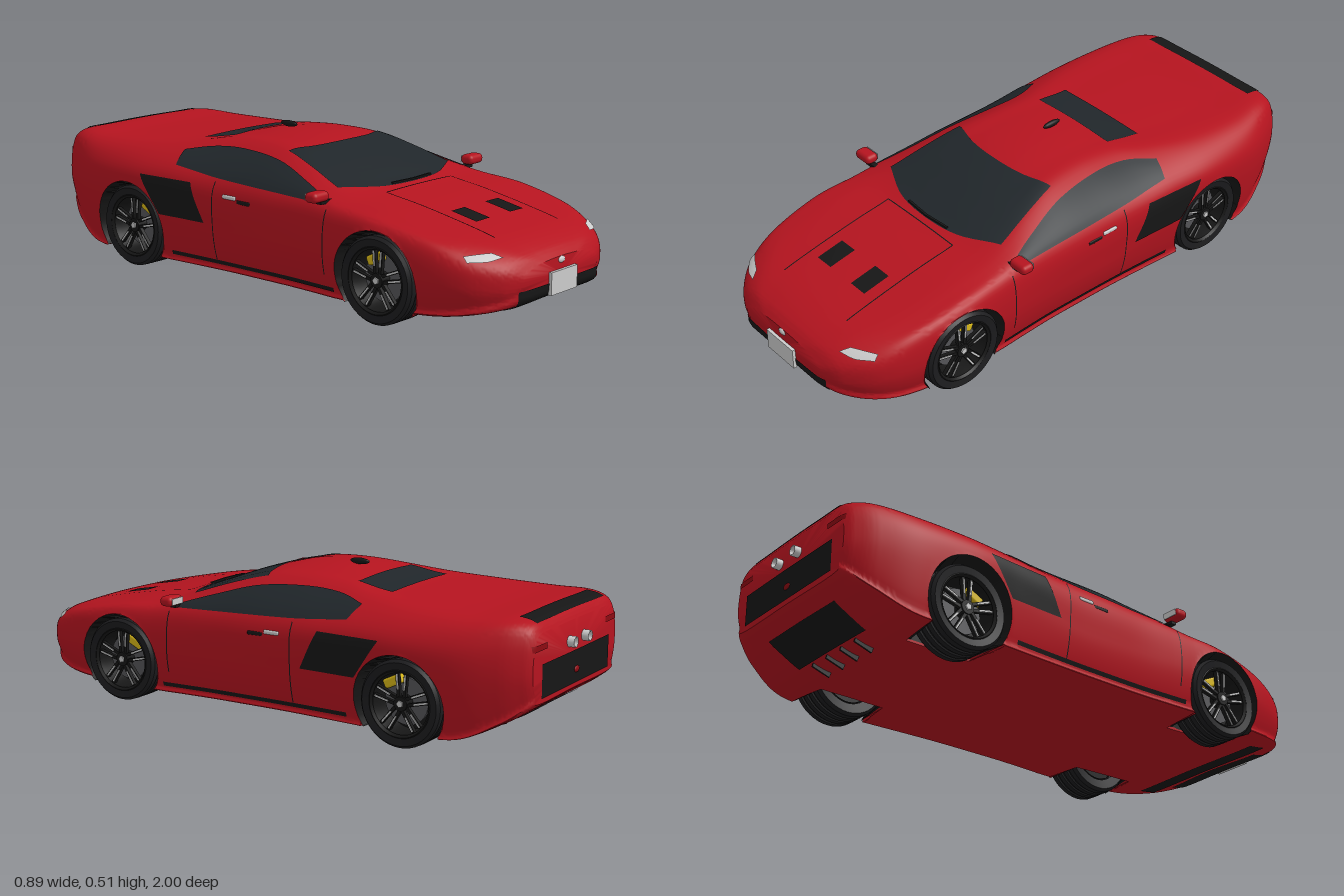
import * as THREE from 'three';
import { toCreasedNormals } from 'three/addons/utils/BufferGeometryUtils.js';
import { RoundedBoxGeometry } from 'three/addons/geometries/RoundedBoxGeometry.js';

const mat = (color) => new THREE.MeshStandardMaterial({ color, side: THREE.DoubleSide });
const red = mat(0xb5141f), black = mat(0x161616), glass = mat(0x20262a), grey = mat(0xcccccc);
const rubber = mat(0x1c1c1e), steel = mat(0x555558), yellow = mat(0xd8b818), lampRed = mat(0x8c0a12);

// Body stations: z, half width, floor y, waist y, shoulder y, roof half width, roof edge y, crown y
const STATIONS = [
  [0.985, 0.2, 0.12, 0.16, 0.195, 0.12, 0.218, 0.225],
  [0.95, 0.275, 0.095, 0.16, 0.215, 0.2, 0.245, 0.255],
  [0.87, 0.352, 0.075, 0.17, 0.242, 0.26, 0.277, 0.288],
  [0.75, 0.395, 0.06, 0.18, 0.28, 0.32, 0.305, 0.315],
  [0.56, 0.415, 0.055, 0.2, 0.318, 0.33, 0.343, 0.35],
  [0.4, 0.41, 0.05, 0.2, 0.327, 0.33, 0.362, 0.375],
  [0.3, 0.405, 0.05, 0.2, 0.337, 0.315, 0.385, 0.41],
  [0.18, 0.4, 0.05, 0.2, 0.345, 0.28, 0.425, 0.452],
  [0.05, 0.4, 0.05, 0.2, 0.352, 0.25, 0.46, 0.485],
  [-0.1, 0.402, 0.05, 0.2, 0.355, 0.24, 0.467, 0.494],
  [-0.25, 0.408, 0.05, 0.22, 0.36, 0.245, 0.46, 0.48],
  [-0.38, 0.415, 0.05, 0.24, 0.365, 0.28, 0.445, 0.456],
  [-0.55, 0.424, 0.05, 0.26, 0.365, 0.32, 0.432, 0.445],
  [-0.75, 0.413, 0.055, 0.26, 0.365, 0.33, 0.427, 0.437],
  [-0.88, 0.375, 0.11, 0.27, 0.375, 0.31, 0.432, 0.441],
  [-0.95, 0.335, 0.155, 0.27, 0.375, 0.28, 0.422, 0.43],
  [-0.975, 0.31, 0.175, 0.27, 0.36, 0.26, 0.395, 0.4],
];
const WHEEL_Z = [0.558, -0.557], HUB_Y = 0.145, ARCH = 0.163;

// Catmull-Rom blend between stations
function station(f) {
  const i = Math.min(Math.floor(f), STATIONS.length - 2), t = f - i;
  const row = (k) => STATIONS[THREE.MathUtils.clamp(k, 0, STATIONS.length - 1)];
  return row(i).map((b, k) => {
    const a = row(i - 1)[k], c = row(i + 1)[k], d = row(i + 2)[k];
    return b + 0.5 * t * (c - a + t * (2 * a - 5 * b + 4 * c - d + t * (3 * (b - c) + d - a)));
  });
}

function sectionCurve([z, w, yb, ym, ys, xr, yr, yt]) {
  const half = [[0.86 * w, yb], [0.94 * w, yb + 0.03], [w, ym], [0.965 * w, ys], [xr, yr], [0.55 * xr, yr + (yt - yr) * 0.75]];
  const p = (x, y) => new THREE.Vector3(x, y, z);
  const pts = [p(0, yb), ...half.map(([x, y]) => p(x, y)), p(0, yt), ...half.reverse().map(([x, y]) => p(-x, y))];
  return new THREE.CatmullRomCurve3(pts, true, 'catmullrom', 0.5);
}

// Lofted shell; points inside a wheel arch are sunk inwards, points near its rim snap to the circle
function buildBody() {
  const rows = (STATIONS.length - 1) * 14, cols = 14 * 8, pos = [], sunk = [], shell = [], wells = [];
  for (let i = 0; i <= rows; i++) {
    const curve = sectionCurve(station(i / 14));
    for (let j = 0; j < cols; j++) {
      const p = curve.getPoint(j / cols);
      let inside = false;
      for (const wz of WHEEL_Z) {
        const d = Math.hypot(p.z - wz, p.y - HUB_Y);
        if (d >= ARCH || Math.abs(p.x) < 0.24) continue;
        if (d > ARCH - 0.022 && p.y > 0.06) {
          p.z = wz + (p.z - wz) * ARCH / d;
          p.y = HUB_Y + (p.y - HUB_Y) * ARCH / d;
        } else {
          p.x = 0.24 * Math.sign(p.x);
          inside = p.y > 0.06;
        }
      }
      pos.push(p.x, p.y, p.z);
      sunk.push(inside);
    }
  }
  for (let i = 0; i < rows; i++) for (let j = 0; j < cols; j++) {
    const a = i * cols + j, b = i * cols + (j + 1) % cols, c = a + cols, d = b + cols;
    ([a, b, c, d].some((k) => sunk[k]) ? wells : shell).push(a, c, b, b, c, d);
  }
  // nose and tail caps
  const n = pos.length / 3, last = rows * cols;
  pos.push(0, 0.17, 0.99, 0, 0.28, -0.978);
  for (let j = 0; j < cols; j++) {
    const k = (j + 1) % cols;
    shell.push(n, j, k, n + 1, last + k, last + j);
  }
  const make = (index) => {
    const g = new THREE.BufferGeometry();
    g.setAttribute('position', new THREE.Float32BufferAttribute(pos, 3));
    g.setIndex(index);
    return toCreasedNormals(g, Math.PI / 5);
  };
  return [make(shell), make(wells)];
}

export function createModel() {
  const car = new THREE.Group();
  car.name = 'sportsCar';
  const add = (name, geo, m, x = 0, y = 0, z = 0, parent = car) => {
    const mesh = new THREE.Mesh(geo, m);
    mesh.name = name;
    mesh.position.set(x, y, z);
    parent.add(mesh);
    return mesh;
  };
  const [shellGeo, wellGeo] = buildBody();
  const body = add('body', shellGeo, red);
  add('wheelWells', wellGeo, black);

  // Panels: a sheet between two 2D edges, projected onto the body along a direction
  const ray = new THREE.Raycaster(), V = (x, y, z) => new THREE.Vector3(x, y, z);
  const project = {
    top: (a, b) => [V(a, 2, b), V(0, -1, 0)], under: (a, b) => [V(a, -2, b), V(0, 1, 0)],
    left: (a, b) => [V(2, b, a), V(-1, 0, 0)], right: (a, b) => [V(-2, b, a), V(1, 0, 0)],
    front: (a, b) => [V(a, b, 2), V(0, 0, -1)], back: (a, b) => [V(a, b, -2), V(0, 0, 1)],
  };
  function panel(name, m, view, edgeA, edgeB, nu = 10, nv = 6, lift = 0.003) {
    const [ca, cb] = [edgeA, edgeB].map((e) => new THREE.SplineCurve(e.map(([x, y]) => new THREE.Vector2(x, y))));
    const g = new THREE.PlaneGeometry(1, 1, nu, nv);
    let prev = null;
    for (let j = 0, k = 0; j <= nv; j++) for (let i = 0; i <= nu; i++, k++) {
      const q = ca.getPoint(i / nu).lerp(cb.getPoint(i / nu), j / nv);
      ray.set(...project[view](q.x + 1e-4, q.y + 1e-4));
      const hit = ray.intersectObject(body)[0];
      if (hit) prev = hit.point.clone().addScaledVector(hit.face.normal, lift);
      if (prev) g.attributes.position.setXYZ(k, prev.x, prev.y, prev.z);
    }
    g.computeVertexNormals();
    return add(name, g, m);
  }
  const rect = (name, m, view, x0, x1, y0, y1, nu, nv, lift) =>
    panel(name, m, view, [[x0, y0], [x1, y0]], [[x0, y1], [x1, y1]], nu, nv, lift);

  // Glass and upper vents
  panel('windscreen', glass, 'top', [[-0.29, 0.31], [-0.15, 0.375], [0, 0.392], [0.15, 0.375], [0.29, 0.31]],
    [[-0.235, 0.045], [-0.12, 0.08], [0, 0.09], [0.12, 0.08], [0.235, 0.045]], 18, 12);
  panel('rearWindow', glass, 'top', [[-0.175, -0.27], [0.175, -0.27]], [[-0.185, -0.405], [0.185, -0.405]], 10, 8);
  rect('rearDeckVent', black, 'top', -0.25, 0.25, -0.895, -0.955, 12, 5);

  // Bonnet seams
  rect('bonnetSeam', black, 'top', -0.17, 0.17, 0.413, 0.417, 14, 1, 0.002);

  // Nose and tail panels
  rect('grille', black, 'front', -0.215, 0.215, 0.075, 0.15, 16, 8);
  rect('chinStrip', black, 'under', -0.29, 0.29, 0.79, 0.86, 16, 3);
  rect('tailPanel', black, 'back', -0.25, 0.25, 0.19, 0.3, 14, 6);
  rect('diffuser', black, 'under', -0.19, 0.19, -0.8, -0.92, 12, 6);
  add('frontPlate', new THREE.BoxGeometry(0.142, 0.074, 0.012), grey, 0, 0.148, 0.993);
  add('frontBadge', new THREE.SphereGeometry(0.02, 16, 10), grey, 0, 0.213, 0.982).scale.set(1, 0.6, 0.5);
  add('rearBadge', new THREE.SphereGeometry(0.018, 16, 10), lampRed, 0, 0.235, -0.98).scale.set(1, 0.6, 0.3);
  for (const x of [-0.12, -0.04, 0.04, 0.12]) {
    const fin = add('diffuserFin', new THREE.BoxGeometry(0.006, 0.025, 0.07), black, x, 0.055, -0.76);
    fin.rotation.x = 0.3;
  }

  // Roof aerial
  add('aerial', new THREE.SphereGeometry(0.01, 14, 10), black, 0, 0.504, -0.17).scale.set(1, 1.1, 3.8);

  const pipe = new THREE.LatheGeometry([[0.013, 0], [0.014, 0.05], [0.018, 0.05], [0.018, 0]].map((p) => new THREE.Vector2(...p)), 20);

  // Wheel parts; axle along x, outer face at +x
  const tyreProfile = [[0.1, -0.06], [0.135, -0.066], [0.144, -0.055]];
  for (const g of [-0.03, 0, 0.03]) tyreProfile.push([0.145, g - 0.006], [0.139, g - 0.004], [0.139, g + 0.004], [0.145, g + 0.006]);
  tyreProfile.push([0.144, 0.055], [0.135, 0.066], [0.108, 0.061]);
  const lathe = (pts) => toCreasedNormals(new THREE.LatheGeometry(pts.map((p) => new THREE.Vector2(...p)), 48), 0.6).rotateZ(-Math.PI / 2);
  const disc = (r, h, n = 32) => new THREE.CylinderGeometry(r, r, h, n).rotateZ(-Math.PI / 2);
  const tyreGeo = lathe(tyreProfile);
  const rimGeo = lathe([[0.095, -0.06], [0.1, 0.03], [0.104, 0.056], [0.111, 0.062], [0.108, 0.064], [0.1, 0.056]]);
  function wheel(name, x, z, caliperZ) {
    const w = new THREE.Group();
    w.name = name;
    w.position.set(x, HUB_Y, z);
    w.rotation.y = x > 0 ? 0 : Math.PI;
    car.add(w);
    add('tyre', tyreGeo, rubber, 0, 0, 0, w);
    add('rim', rimGeo, black, 0, 0, 0, w);
    add('wheelBack', disc(0.098, 0.02), black, -0.03, 0, 0, w);
    add('brakeDisc', disc(0.078, 0.01), steel, 0.01, 0, 0, w);
    add('hub', disc(0.024, 0.04, 20), black, 0.036, 0, 0, w);
    add('hubCap', disc(0.012, 0.006, 5), grey, 0.058, 0, 0, w);
    add('caliper', new RoundedBoxGeometry(0.03, 0.032, 0.07, 2, 0.008), yellow, 0.016, 0.062, caliperZ * Math.sign(x), w).rotation.x = Math.sign(caliperZ * x) * 0.45;
    for (let i = 0; i < 5; i++) {
      const arm = new THREE.Group();
      arm.name = 'spokePair';
      arm.rotation.x = i * Math.PI * 2 / 5;
      w.add(arm);
      for (const s of [-1, 1]) {
        const spoke = add('spoke', new THREE.BoxGeometry(0.014, 0.088, 0.011), black, 0.044, 0.06, s * 0.013, arm);
        spoke.rotation.x = s * 0.08;
        add('spokeFace', new THREE.BoxGeometry(0.003, 0.05, 0.005), grey, 0.0515, 0.07, s * 0.0135, arm).rotation.x = s * 0.08;
      }
    }
  }

  // Everything that comes in left and right pairs
  for (const s of [1, -1]) {
    const side = s > 0 ? 'left' : 'right';
    wheel(side + 'FrontWheel', s * 0.335, WHEEL_Z[0], -0.03);
    wheel(side + 'RearWheel', s * 0.335, WHEEL_Z[1], 0.045);
    panel(side + 'Window', glass, side, [[0.34, 0.352], [0.1, 0.36], [-0.15, 0.37], [-0.35, 0.388]],
      [[0.32, 0.365], [0.2, 0.402], [0.05, 0.442], [-0.12, 0.455], [-0.26, 0.449], [-0.37, 0.43]], 24, 8);
    panel(side + 'AirIntake', black, side, [[-0.19, 0.215], [-0.4, 0.215]], [[-0.255, 0.345], [-0.49, 0.345]], 10, 8);
    rect(side + 'DoorFrontSeam', black, side, 0.346, 0.35, 0.13, 0.34, 1, 12, 0.002);
    rect(side + 'DoorRearSeam', black, side, -0.152, -0.148, 0.09, 0.36, 1, 12, 0.002);
    rect(side + 'SillStrip', black, side, 0.38, -0.36, 0.075, 0.09, 20, 1);
    rect(side + 'BonnetSeam', black, 'top', s * 0.168, s * 0.172, 0.415, 0.85, 1, 14, 0.002);
    rect(side + 'BonnetVent', black, 'top', s * 0.055, s * 0.125, 0.645, 0.745, 4, 5);
    panel(side + 'Headlight', grey, 'top', [[s * 0.235, 0.93], [s * 0.29, 0.91], [s * 0.338, 0.87]],
      [[s * 0.255, 0.9], [s * 0.3, 0.875], [s * 0.335, 0.852]], 10, 4, 0.005);
    rect(side + 'TailLight', lampRed, 'back', s * 0.22, s * 0.31, 0.345, 0.365, 6, 3);
    add(side + 'Handle', new RoundedBoxGeometry(0.012, 0.014, 0.06, 2, 0.005), grey, s * 0.399, 0.318, -0.075);
    add(side + 'HandleRecess', new RoundedBoxGeometry(0.01, 0.014, 0.06, 2, 0.004), black, s * 0.398, 0.308, -0.01);
    add(side + 'MirrorStalk', new THREE.BoxGeometry(0.05, 0.012, 0.02), black, s * 0.375, 0.362, 0.325);
    add(side + 'Mirror', new RoundedBoxGeometry(0.075, 0.034, 0.05, 4, 0.015), red, s * 0.408, 0.383, 0.325);
    add(side + 'MirrorGlass', new THREE.BoxGeometry(0.058, 0.022, 0.002), grey, s * 0.408, 0.383, 0.2995);
    const wiper = add(side + 'Wiper', new THREE.BoxGeometry(0.1, 0.006, 0.008), black, s * 0.05, 0.386, 0.385);
    wiper.rotation.y = s * 0.08;
    add(side + 'ExhaustPipe', pipe, grey, s * 0.054, 0.335, -0.95).rotation.x = -Math.PI / 2;
  }
  return car;
}
